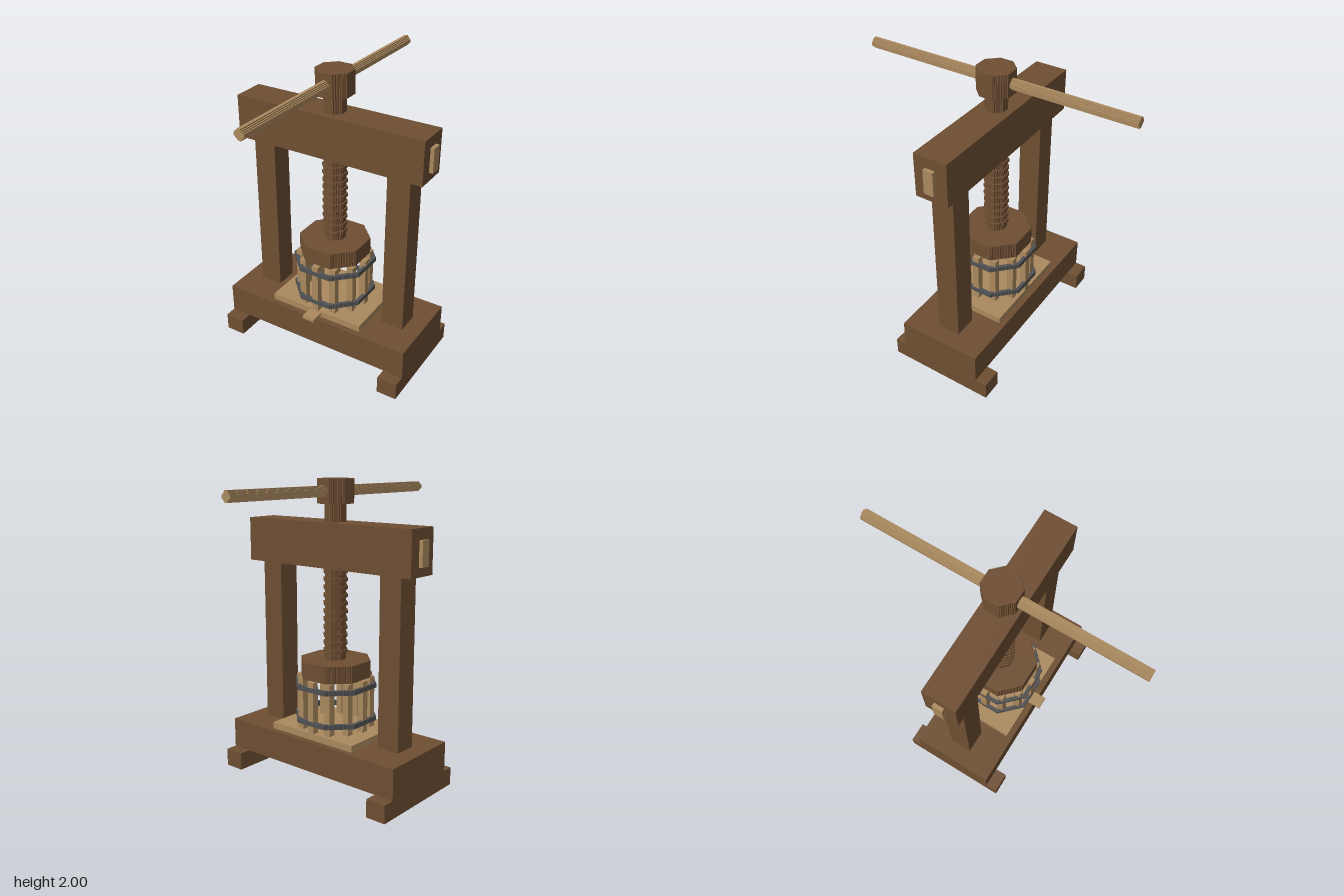
import * as THREE from 'three';

const STEP = 0.0075;

export function createModel() {
  const model = new THREE.Group();
  model.name = 'screwPress';

  const mat = (name, color) => {
    const m = new THREE.MeshStandardMaterial({ color });
    m.name = name;
    return m;
  };
  const darkWood = mat('darkWood', 0x6f4f33);
  const paleWood = mat('paleWood', 0xab8a5f);
  const iron = mat('iron', 0x515253);

  const add = (name, geometry, material, parent = model) => {
    const mesh = new THREE.Mesh(geometry, material);
    mesh.name = name;
    parent.add(mesh);
    return mesh;
  };

  // Box given by its limits on each axis
  const box = (name, material, [x0, x1], [y0, y1], [z0, z1], parent) => {
    const mesh = add(name, new THREE.BoxGeometry(x1 - x0, y1 - y0, z1 - z0), material, parent);
    mesh.position.set((x0 + x1) / 2, (y0 + y1) / 2, (z0 + z1) / 2);
    return mesh;
  };

  // Octagon outline whose diagonals are small stairs: r = half width, f = half of the flat
  const outline = (r, f) => {
    const n = Math.round((r - f) / STEP);
    const d = (r - f) / n;
    const quarter = [];
    for (let i = 0; i < n; i++) {
      quarter.push([r - i * d, f + i * d], [r - (i + 1) * d, f + i * d]);
    }
    quarter.push([f, r]);
    const points = [];
    for (let q = 0; q < 4; q++) {
      for (const [x, y] of quarter) {
        points.push(new THREE.Vector2(...[[x, y], [-y, x], [-x, -y], [y, -x]][q]));
      }
    }
    return points;
  };

  // Upright stepped octagonal prism, optionally hollow
  const prism = (name, material, r, f, y0, y1, hole, parent) => {
    const shape = new THREE.Shape(outline(r, f));
    if (hole) shape.holes.push(new THREE.Path(outline(...hole)));
    const geometry = new THREE.ExtrudeGeometry(shape, { depth: y1 - y0, bevelEnabled: false });
    geometry.rotateX(-Math.PI / 2);
    const mesh = add(name, geometry, material, parent);
    mesh.position.y = y0;
    return mesh;
  };

  // Frame: base, feet, posts, top beam and tenon ends
  box('base', darkWood, [-0.69, 0.69], [0.12, 0.325], [-0.288, 0.288]);
  box('topBeam', darkWood, [-0.665, 0.665], [1.44, 1.73], [-0.113, 0.113]);
  for (const [side, s] of [['left', 1], ['right', -1]]) {
    const span = (a, b) => (s > 0 ? [a, b] : [-b, -a]);
    box(side + 'Foot', darkWood, span(0.552, 0.69), [0, 0.12], [-0.368, 0.368]);
    box(side + 'Post', darkWood, span(0.416, 0.572), [0.325, 1.44], [-0.077, 0.077]);
    box(side + 'Tenon', paleWood, span(0.665, 0.69), [1.5, 1.66], [-0.034, 0.034]);
  }

  // Pressing bed with its spout
  box('bedBoard', paleWood, [-0.342, 0.342], [0.325, 0.37], [-0.25, 0.25]);
  box('spout', paleWood, [-0.044, 0.044], [0.34, 0.36], [0.25, 0.343]);

  // Basket: twelve staves held by two hoops
  const basket = new THREE.Group();
  basket.name = 'basket';
  model.add(basket);
  for (let i = 0; i < 12; i++) {
    const a = (i * Math.PI) / 6;
    const x = 0.229 * Math.cos(a);
    const z = 0.229 * Math.sin(a);
    box('stave', paleWood, [x - 0.023, x + 0.023], [0.37, 0.716], [z - 0.023, z + 0.023], basket);
  }
  for (const y of [0.42, 0.648]) prism('hoop', iron, 0.254, 0.116, y, y + 0.032, [0.232, 0.107], basket);

  // Press plate, threaded screw and head
  prism('pressPlate', darkWood, 0.218, 0.098, 0.716, 0.83);
  prism('screwShaft', darkWood, 0.067, 0.028, 0.83, 1.845);
  for (let i = 0; i < 11; i++) {
    const y = 0.876 + i * 0.0527;
    prism('screwThread', darkWood, 0.077, 0.032, y, y + 0.022);
  }
  prism('screwHead', darkWood, 0.113, 0.048, 1.845, 2);

  // Turning bar through the head
  const bar = new THREE.ExtrudeGeometry(new THREE.Shape(outline(0.034, 0.011)), { depth: 1.84, bevelEnabled: false });
  add('turningBar', bar, paleWood).position.set(0, 1.923, -0.92);

  return model;
}
